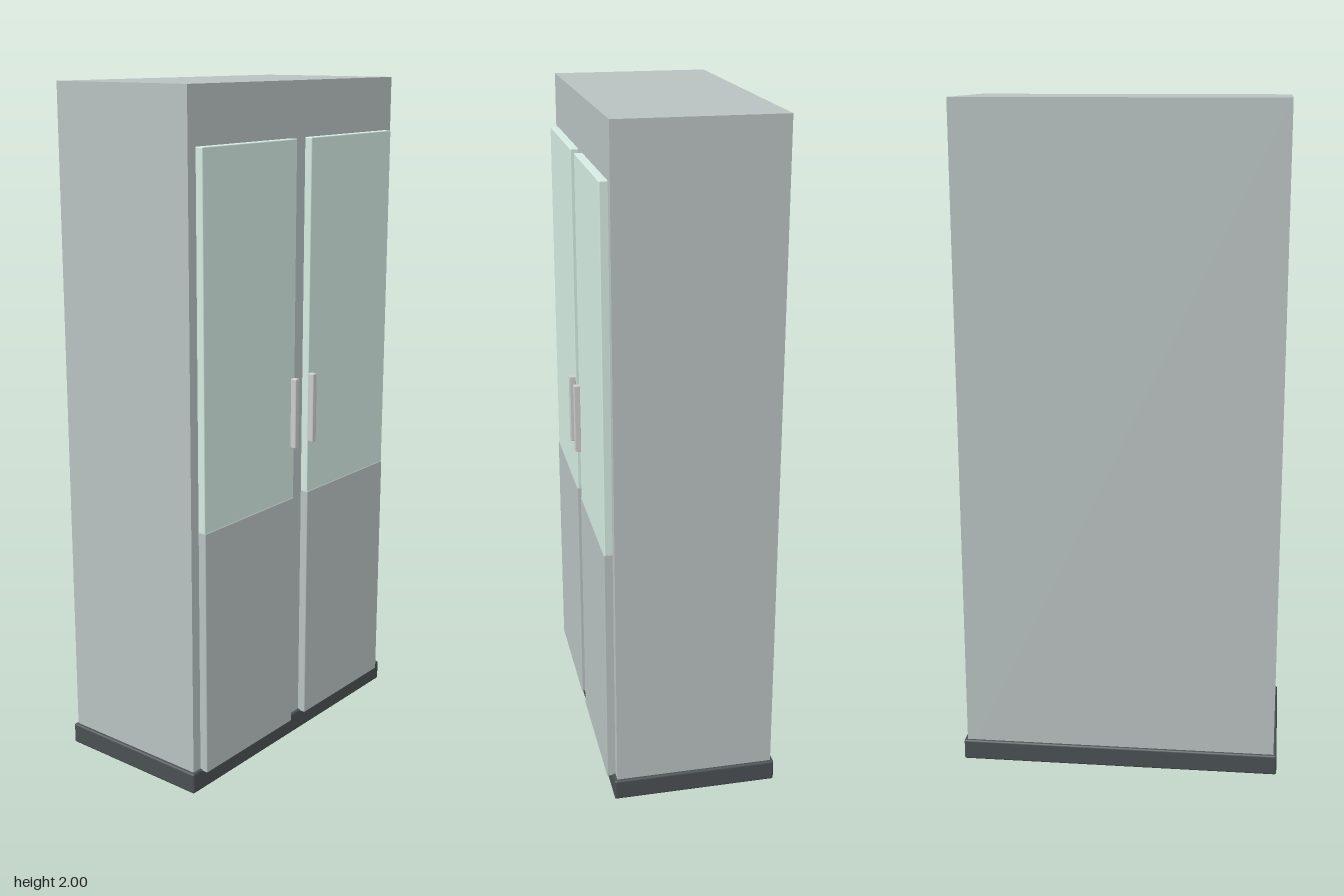
import * as THREE from 'three';
import { RoundedBoxGeometry } from 'three/addons/geometries/RoundedBoxGeometry.js';

const material = (color) => new THREE.MeshStandardMaterial({ color });

// Box given by its limits on each axis, with optionally softened edges
function block(name, [x0, x1], [y0, y1], [z0, z1], mat, radius = 0) {
  const size = [x1 - x0, y1 - y0, z1 - z0];
  const geometry = radius
    ? new RoundedBoxGeometry(...size, 2, radius)
    : new THREE.BoxGeometry(...size);
  const mesh = new THREE.Mesh(geometry, mat);
  mesh.name = name;
  mesh.position.set((x0 + x1) / 2, (y0 + y1) / 2, (z0 + z1) / 2);
  return mesh;
}

export function createModel() {
  const metal = material(0xb9c1c1);
  const glass = material(0xd4ebe2);
  const plinthDark = material(0x4a5052);
  const handleGrey = material(0xcccccc);

  const cabinet = new THREE.Group();
  cabinet.name = 'cabinet';

  // Carcass on a slightly wider plinth
  cabinet.add(block('carcass', [-0.253, 0.219], [0.01, 2], [-0.472, 0.472], metal));
  cabinet.add(block('plinth', [-0.262, 0.228], [0, 0.063], [-0.482, 0.482], plinthDark, 0.006));

  // Mirrored pair of doors: glazed above, solid below, handles at the centre
  for (const side of [1, -1]) {
    const span = (inner, outer) => (side > 0 ? [inner, outer] : [-outer, -inner]);
    const door = new THREE.Group();
    door.name = side > 0 ? 'leftDoor' : 'rightDoor';
    const width = span(0.034, 0.441);
    door.add(block('glassPanel', [0.215, 0.242], [0.79, 1.843], width, glass, 0.003));
    door.add(block('lowerPanel', [0.215, 0.244], [0.057, 0.793], width, metal, 0.003));
    door.add(block('handle', [0.24, 0.26], [0.95, 1.16], span(0.034, 0.052), handleGrey, 0.003));
    cabinet.add(door);
  }
  return cabinet;
}
